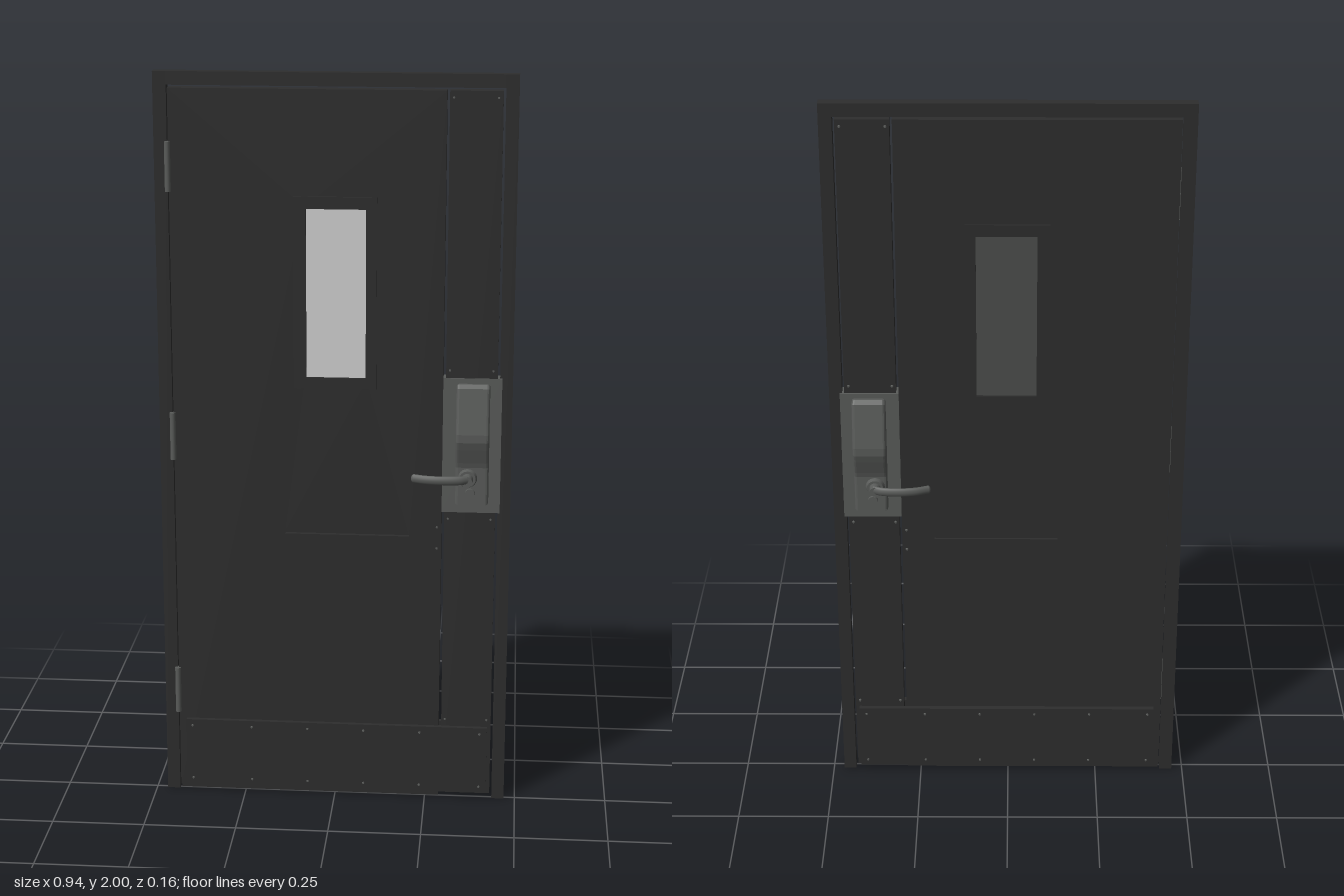
import * as THREE from 'three';

const mat = (name, color) => {
  const m = new THREE.MeshStandardMaterial({ color });
  m.name = name;
  return m;
};

export function createModel() {
  const root = new THREE.Group();
  root.name = 'securityDoor';
  const dark = mat('darkPaint', 0x2d2d2d);
  const metal = mat('greyMetal', 0x595b59);
  const pale = mat('paleGlass', 0xd0d0d0);
  const smoky = mat('smokyGlass', 0x4c4d4c);
  const ZC = -0.005; // middle of the door's thickness

  const add = (name, geometry, material, x = 0, y = 0, z = 0) => {
    const m = new THREE.Mesh(geometry, material);
    m.name = name;
    m.position.set(x, y, z);
    root.add(m);
    return m;
  };
  // box given by its limits
  const box = (name, material, x0, x1, y0, y1, z0, z1) =>
    add(name, new THREE.BoxGeometry(x1 - x0, y1 - y0, z1 - z0), material,
      (x0 + x1) / 2, (y0 + y1) / 2, (z0 + z1) / 2);
  const rect = (P, x0, x1, y0, y1) => {
    const p = new P();
    p.moveTo(x0, y0).lineTo(x1, y0).lineTo(x1, y1).lineTo(x0, y1).closePath();
    return p;
  };
  // flat panel with rectangular cut-outs
  const panel = (name, limits, holes, z0, z1, material = dark) => {
    const s = rect(THREE.Shape, ...limits);
    holes.forEach(h => s.holes.push(rect(THREE.Path, ...h)));
    return add(name, new THREE.ExtrudeGeometry(s, { depth: z1 - z0, bevelEnabled: false }), material, 0, 0, z0);
  };

  // door frame
  box('leftJamb', dark, 0.436, 0.47, 0, 2, -0.02, 0.009);
  box('rightJamb', dark, -0.47, -0.435, 0, 2, -0.02, 0.009);
  box('header', dark, -0.435, 0.436, 1.965, 2, -0.02, 0.009);

  // main leaf with window opening and slot, and the narrow lock-side leaf
  panel('mainLeaf', [-0.432, 0.287, 0.014, 1.958],
    [[-0.08, 0.085, 1.195, 1.655], [-0.135, 0.2, 0.762, 0.766]], -0.02, 0.012);
  panel('lockLeaf', [0.294, 0.43, 0.016, 1.958], [], -0.02, 0.012);
  box('bottomSweep', dark, -0.43, 0.288, 0.004, 0.014, -0.015, 0.007);

  // window surround on both faces, and glass
  for (const s of [1, -1]) {
    const z = ZC + s * 0.017;
    panel('windowSurround', [-0.108, 0.11, 1.17, 1.682],
      [[-0.075, 0.082, 1.2, 1.65]], Math.min(z, z + s * 0.006), Math.max(z, z + s * 0.006));
  }
  box('frontGlass', pale, -0.08, 0.085, 1.195, 1.655, -0.003, 0.002);
  box('backGlass', smoky, -0.08, 0.085, 1.195, 1.655, -0.012, -0.004);

  // kick plates
  for (const s of [1, -1]) {
    const a = ZC + s * 0.015, b = ZC + s * 0.029;
    box('kickPlate', dark, -0.412, 0.42, 0.022, 0.215, Math.min(a, b), Math.max(a, b));
  }

  // domed screws on both faces
  const screwGeo = new THREE.CylinderGeometry(0.0025, 0.004, 0.004, 10);
  const screw = (x, y, depth) => {
    for (const s of [1, -1]) {
      add('screw', screwGeo, metal, x, y, ZC + s * depth).rotation.x = s * Math.PI / 2;
    }
  };
  for (const x of [-0.395, -0.23, -0.075, 0.08, 0.235, 0.4]) {
    screw(x, 0.197, 0.03);
    screw(x, 0.04, 0.03);
  }
  for (const x of [0.304, 0.418]) for (const y of [0.235, 0.815, 1.225, 1.94]) screw(x, y, 0.017);
  for (const y of [0.73, 0.79]) screw(0.275, y, 0.017);

  // hinge knuckles and leaves on the front
  for (const y of [0.3, 1.03, 1.755]) {
    add('hingeKnuckle', new THREE.CylinderGeometry(0.008, 0.008, 0.13, 16), metal, -0.434, y, 0.015);
    box('hingeLeaf', metal, -0.434, -0.43, y - 0.065, y + 0.065, -0.012, 0.013);
  }

  // lock mounting plate wrapping both faces
  box('lockPlate', metal, 0.287, 0.442, 0.835, 1.205, ZC - 0.02, ZC + 0.02);

  // lock housing: side profile (distance from the door's middle, height), mirrored
  const half = [[0.026, 1.183], [0.031, 1.178], [0.05, 1.06], [0.05, 1.04],
    [0.044, 1.02], [0.03, 0.98], [0.026, 0.965], [0.026, 0.868]];
  const profile = [...half, ...half.slice().reverse().map(([z, y]) => [-z, y])];
  const housing = new THREE.ExtrudeGeometry(
    new THREE.Shape(profile.map(p => new THREE.Vector2(...p))),
    { depth: 0.073, bevelEnabled: true, bevelSize: 0.008, bevelThickness: 0.008, bevelSegments: 3 });
  housing.rotateY(Math.PI / 2);
  add('lockHousing', housing, metal, 0.33, 0, ZC);

  // levers, spindles and key cylinders on both faces
  for (const s of [1, -1]) {
    const out = (name, r0, r1, x, y, z0, z1) => {
      const m = add(name, new THREE.CylinderGeometry(r1, r0, z1 - z0, 24), metal, x, y, ZC + s * (z0 + z1) / 2);
      m.rotation.x = s * Math.PI / 2;
    };
    out('leverRose', 0.027, 0.022, 0.355, 0.935, 0.03, 0.045);
    out('leverSpindle', 0.016, 0.013, 0.355, 0.935, 0.04, 0.066);
    out('keyCylinder', 0.014, 0.013, 0.362, 0.893, 0.03, 0.04);
    const path = new THREE.CatmullRomCurve3([[0.358, 0.058], [0.335, 0.068], [0.285, 0.072],
      [0.245, 0.067], [0.213, 0.056]].map(([x, z]) => new THREE.Vector3(x, 0, s * z)));
    const grip = add('lever', new THREE.TubeGeometry(path, 32, 0.0075, 12), metal, 0, 0.938, ZC);
    grip.scale.y = 1.6;
    const tip = add('leverTip', new THREE.SphereGeometry(0.0075, 12, 8), metal, 0.213, 0.938, ZC + s * 0.056);
    tip.scale.y = 1.6;
  }
  return root;
}
